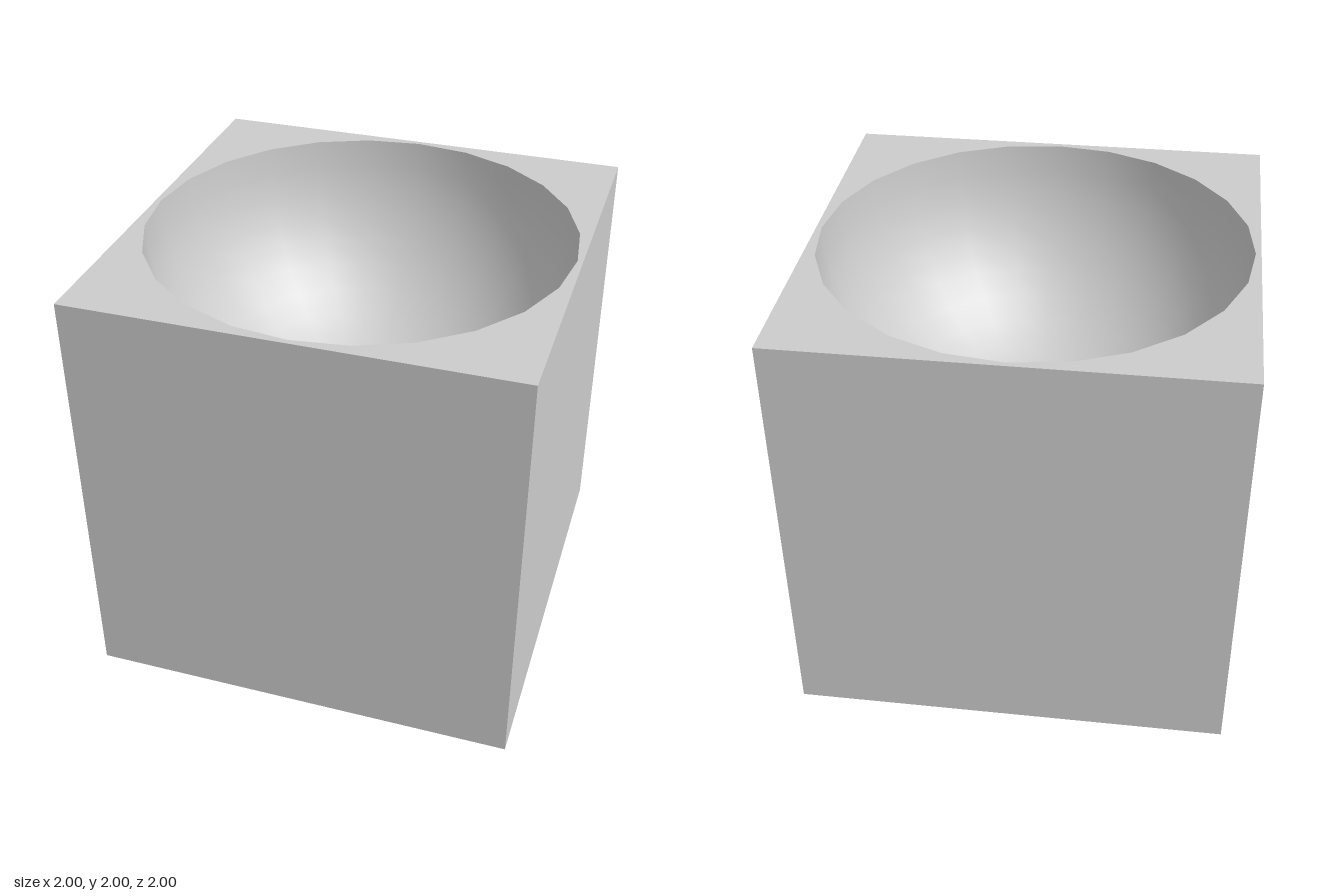
import * as THREE from 'three';

const SIZE = 2, RADIUS = 0.975, SIDES = 24;

export function createModel() {
  const group = new THREE.Group();
  const material = new THREE.MeshStandardMaterial({ color: 0xcccccc });
  const add = (name, geometry) => {
    const mesh = new THREE.Mesh(geometry, material);
    mesh.name = name;
    group.add(mesh);
    return mesh;
  };

  // Cube walls and base: a box without its top face (indices 12 to 17)
  const box = new THREE.BoxGeometry(SIZE, SIZE, SIZE);
  box.setIndex(Array.from(box.index.array).filter((_, i) => i < 12 || i > 17));
  box.clearGroups();
  add('cubeBody', box).position.y = SIZE / 2;

  // Top face with a 24-sided opening
  const h = SIZE / 2;
  const square = new THREE.Shape([
    new THREE.Vector2(-h, -h), new THREE.Vector2(h, -h),
    new THREE.Vector2(h, h), new THREE.Vector2(-h, h),
  ]);
  const rim = [];
  for (let i = 0; i < SIDES; i++) {
    const a = -i * 2 * Math.PI / SIDES;
    rim.push(new THREE.Vector2(RADIUS * Math.cos(a), RADIUS * Math.sin(a)));
  }
  square.holes.push(new THREE.Path(rim));
  const top = add('topFace', new THREE.ShapeGeometry(square).rotateX(-Math.PI / 2));
  top.position.y = SIZE;

  // Smooth hemispherical hollow, profiled from rim to centre so it faces inward
  const profile = [];
  const steps = SIDES / 2;
  for (let i = 0; i <= steps; i++) {
    const a = i / steps * Math.PI / 2;
    profile.push(new THREE.Vector2(i === steps ? 0 : RADIUS * Math.cos(a), -RADIUS * Math.sin(a)));
  }
  add('bowlHollow', new THREE.LatheGeometry(profile, SIDES)).position.y = SIZE;

  return group;
}
